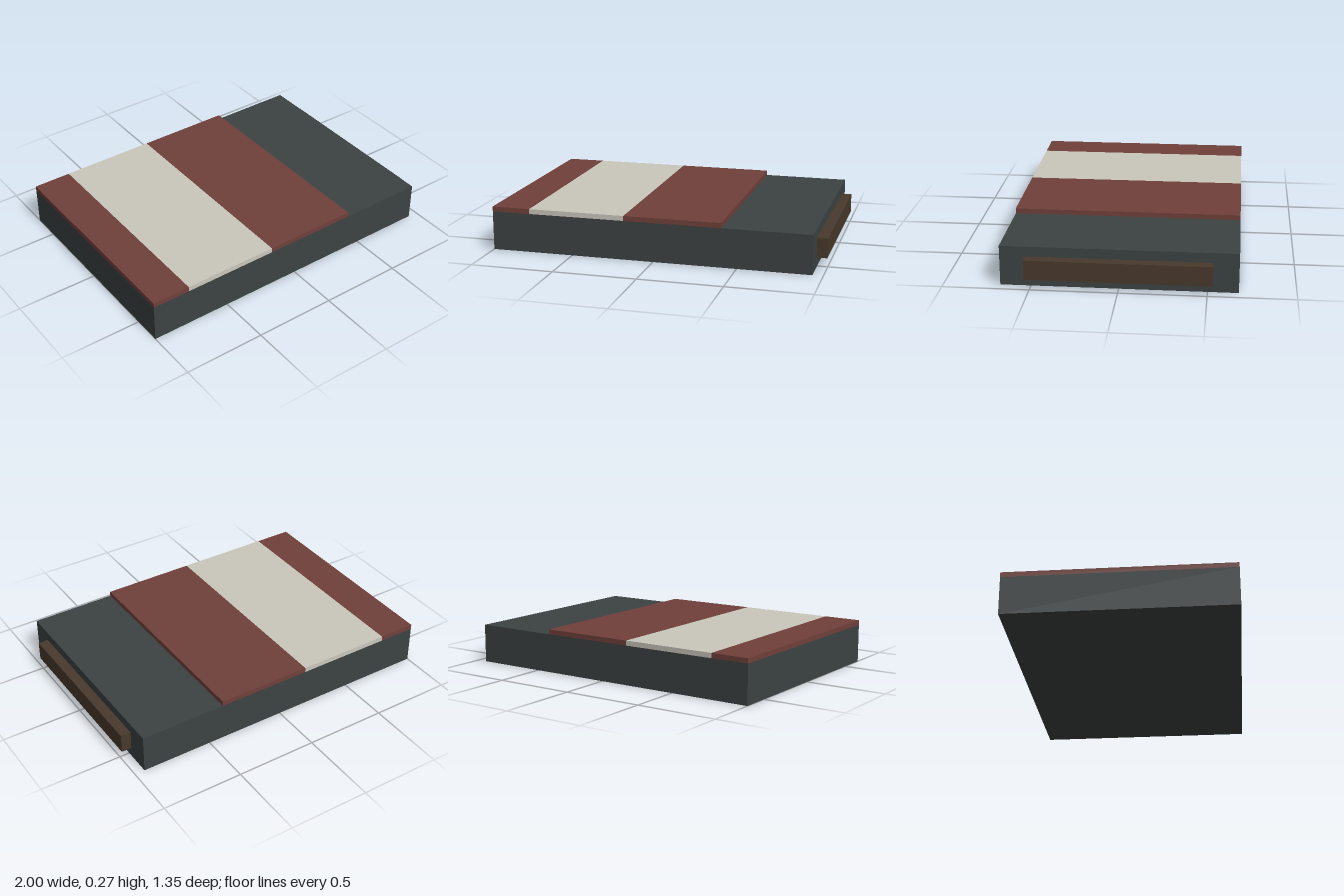
import * as THREE from 'three';

export function createModel() {
  const group = new THREE.Group();
  const material = (name, color) => {
    const m = new THREE.MeshStandardMaterial({ color });
    m.name = name;
    return m;
  };
  const charcoal = material('charcoal', 0x3c4242);
  const red = material('brickRed', 0x70403a);
  const cream = material('cream', 0xcac6bc);
  const brown = material('darkBrown', 0x48392c);

  // Box given by its extents along x and y, and its half width along z
  const slab = (name, mat, x0, x1, y0, y1, halfZ) => {
    const mesh = new THREE.Mesh(new THREE.BoxGeometry(x1 - x0, y1 - y0, 2 * halfZ), mat);
    mesh.position.set((x0 + x1) / 2, (y0 + y1) / 2, 0);
    mesh.name = name;
    group.add(mesh);
  };

  // Casing
  slab('casing', charcoal, -1, 0.938, 0, 0.236, 0.676);

  // Raised label in three bands
  const edges = [-1, -0.765, -0.178, 0.408];
  [['labelEndBand', red], ['labelMiddleBand', cream], ['labelInnerBand', red]].forEach(([name, mat], i) =>
    slab(name, mat, edges[i], edges[i + 1], 0.236, 0.266, 0.676));

  // Edge connector
  slab('connector', brown, 0.938, 1, 0.06, 0.177, 0.53);

  return group;
}
